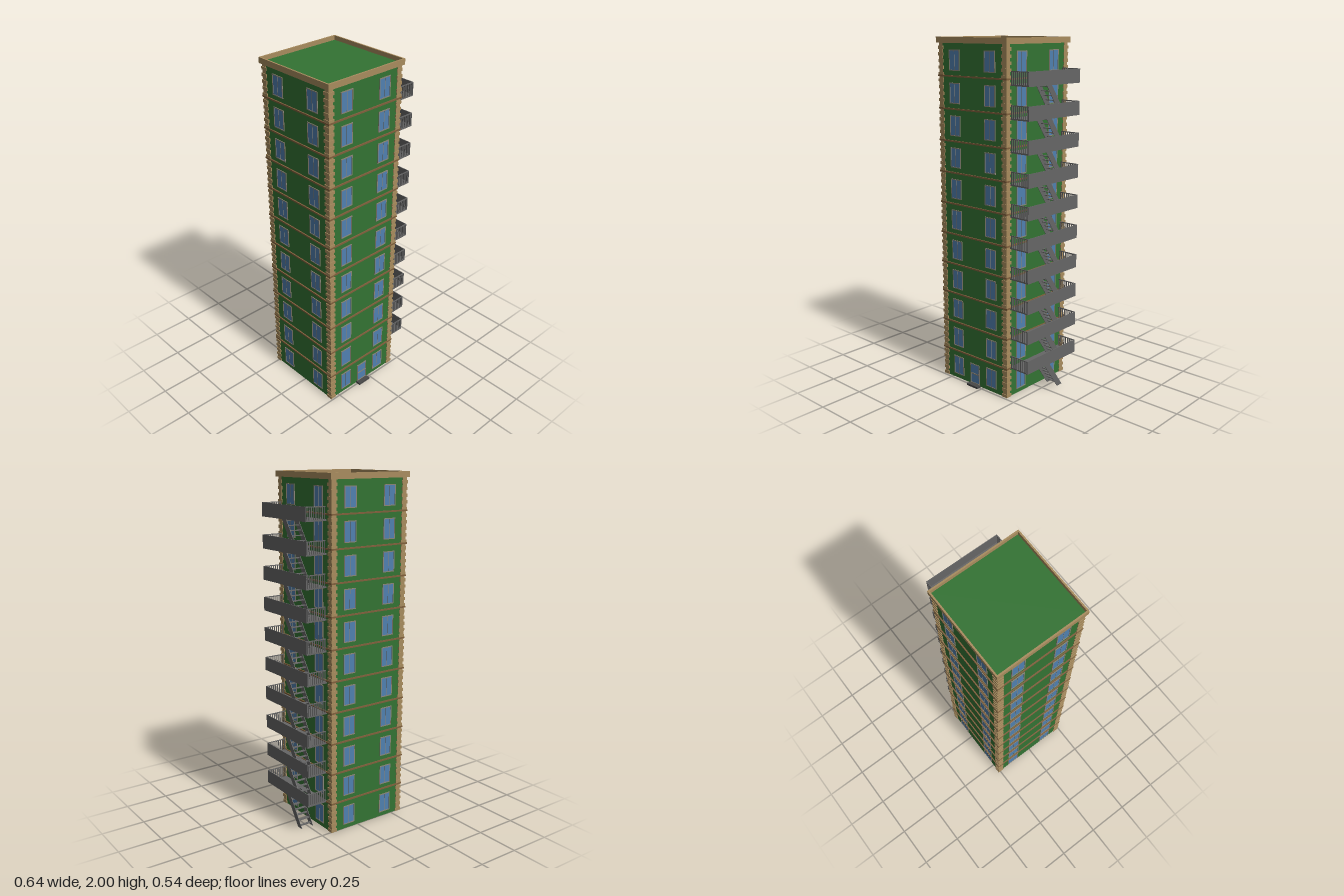
import * as THREE from 'three';

const mat = (color) => new THREE.MeshStandardMaterial({ color });
const GREEN = mat(0x337333), TAN = mat(0xa88c5e), BAND = mat(0x80603c), FRAME = mat(0x8a8578);
const GLASS = mat(0x5080b0), METAL = mat(0x666666), DARK = mat(0x484848);

const FLOORS = 11, STOREY = 0.179, HALF = 0.25;
const CX = -0.06, CZ = -0.01;
const LANDINGS = 10, LANDING_STEP = 0.1755;

function box(parent, name, material, w, h, d, x, y, z) {
  const mesh = new THREE.Mesh(new THREE.BoxGeometry(w, h, d), material);
  mesh.name = name;
  mesh.position.set(x, y, z);
  parent.add(mesh);
  return mesh;
}

function group(parent, name) {
  const g = new THREE.Group();
  g.name = name;
  parent.add(g);
  return g;
}

// Rectangular frame with glass, facing +z, centred on x, y
function glazing(parent, name, w, h, x, y) {
  const g = group(parent, name);
  g.position.set(x, y, HALF);
  const t = 0.005;
  box(g, 'pane', GLASS, w - t, h - t, 0.002, 0, 0, 0.0005);
  for (const s of [-1, 1]) {
    box(g, 'frameSide', FRAME, t, h, 0.006, s * (w - t) / 2, 0, 0.001);
    box(g, 'frameRail', FRAME, w - 2 * t, t, 0.006, 0, s * (h - t) / 2, 0.001);
  }
  return g;
}

function buildTower() {
  const tower = new THREE.Group();
  tower.name = 'tower';
  tower.position.set(CX, 0, CZ);
  box(tower, 'walls', GREEN, HALF * 2, 1.965, HALF * 2, 0, 0.9875, 0);
  box(tower, 'roof', GREEN, 0.51, 0.006, 0.51, 0, 1.973, 0);

  // Parapet ring round the roof
  for (const s of [-1, 1]) {
    box(tower, 'parapet', TAN, 0.526, 0.032, 0.009, 0, 1.984, s * 0.2585);
    box(tower, 'parapet', TAN, 0.009, 0.032, 0.508, s * 0.2585, 1.984, 0);
  }

  // String courses between storeys
  for (let i = 1; i < FLOORS; i++)
    box(tower, 'stringCourse', BAND, 0.514, 0.009, 0.514, 0, i * STOREY + 0.001, 0);

  // Corner stones, alternately long and short
  const quoins = group(tower, 'cornerStones');
  const rows = FLOORS * 10, rowH = 1.965 / rows;
  for (let i = 0; i < rows; i++) {
    const long = i % 2 === 0;
    const size = long ? 0.038 : 0.029, out = long ? 0.255 : 0.2515;
    for (const sx of [-1, 1]) for (const sz of [-1, 1])
      box(quoins, 'cornerStone', TAN, size, rowH, size,
        sx * (out - size / 2), 0.005 + (i + 0.5) * rowH, sz * (out - size / 2));
  }

  // Two windows per storey on each side
  for (let side = 0; side < 4; side++) {
    const face = group(tower, 'windowWall');
    face.rotation.y = side * Math.PI / 2;
    for (let i = 0; i < FLOORS; i++)
      for (const s of [-1, 1]) {
        const win = glazing(face, 'window', 0.08, 0.114, s * 0.132, 0.087 + i * STOREY);
        box(win, 'mullion', FRAME, 0.002, 0.105, 0.004, 0, 0, 0.001);
      }
  }

  // Entrance door with crossbar and doorstep
  const door = glazing(tower, 'door', 0.074, 0.122, 0, 0.073);
  box(door, 'crossbar', FRAME, 0.064, 0.007, 0.006, 0, 0, 0.001);
  box(tower, 'doorstep', DARK, 0.084, 0.012, 0.032, 0, 0.006, 0.264);
  return tower;
}

// Floor plate with a stair opening, as thin extrusion
function landingFloor() {
  const rect = (P, x0, x1, z0, z1) => {
    const p = new P();
    p.moveTo(x0, -z1); p.lineTo(x1, -z1); p.lineTo(x1, -z0); p.lineTo(x0, -z0);
    p.closePath();
    return p;
  };
  const shape = rect(THREE.Shape, 0.19, 0.32, -0.213, 0.213);
  shape.holes.push(rect(THREE.Path, 0.222, 0.3, -0.105, 0.022));
  return new THREE.ExtrudeGeometry(shape, { depth: 0.008, bevelEnabled: false }).rotateX(-Math.PI / 2);
}

function buildFireEscape() {
  const escape = new THREE.Group();
  escape.name = 'fireEscape';
  const floorGeo = landingFloor();

  // Sloping stringer outline in (z, y), extruded along x
  const outline = new THREE.Shape([[-0.12, 0], [-0.078, 0], [0.048, 0.18], [0.006, 0.18]]
    .map(([z, y]) => new THREE.Vector2(-z, y)));
  const stringerGeo = new THREE.ExtrudeGeometry(outline, { depth: 0.003, bevelEnabled: false })
    .rotateY(Math.PI / 2);

  for (let i = 0; i < LANDINGS; i++) {
    // Landing with solid outer panel and barred ends
    const landing = group(escape, 'landing');
    landing.position.y = 0.177 + i * LANDING_STEP;
    const plate = new THREE.Mesh(floorGeo, METAL);
    plate.name = 'landingFloor';
    landing.add(plate);
    box(landing, 'outerPanel', METAL, 0.004, 0.077, 0.426, 0.318, 0.0385, 0);
    for (const s of [-1, 1]) {
      box(landing, 'endRail', METAL, 0.124, 0.005, 0.005, 0.258, 0.0745, s * 0.2105);
      for (let b = 0; b < 9; b++)
        box(landing, 'endBar', METAL, 0.005, 0.069, 0.004, 0.201 + b * 0.0136, 0.04, s * 0.2105);
    }

    // Flight leading up to the landing
    const flight = group(escape, 'stairFlight');
    flight.position.y = i * LANDING_STEP;
    for (const x of [0.222, 0.297]) {
      const stringer = new THREE.Mesh(stringerGeo, METAL);
      stringer.name = 'stringer';
      stringer.position.x = x;
      flight.add(stringer);
    }
    for (let t = 0; t < 7; t++)
      box(flight, 'tread', METAL, 0.073, 0.004, 0.0165, 0.261, 0.014 + t * 0.0256, -0.0955 + t * 0.018);
  }
  return escape;
}

export function createModel() {
  const model = new THREE.Group();
  model.name = 'apartmentTower';
  model.add(buildTower(), buildFireEscape());
  return model;
}
